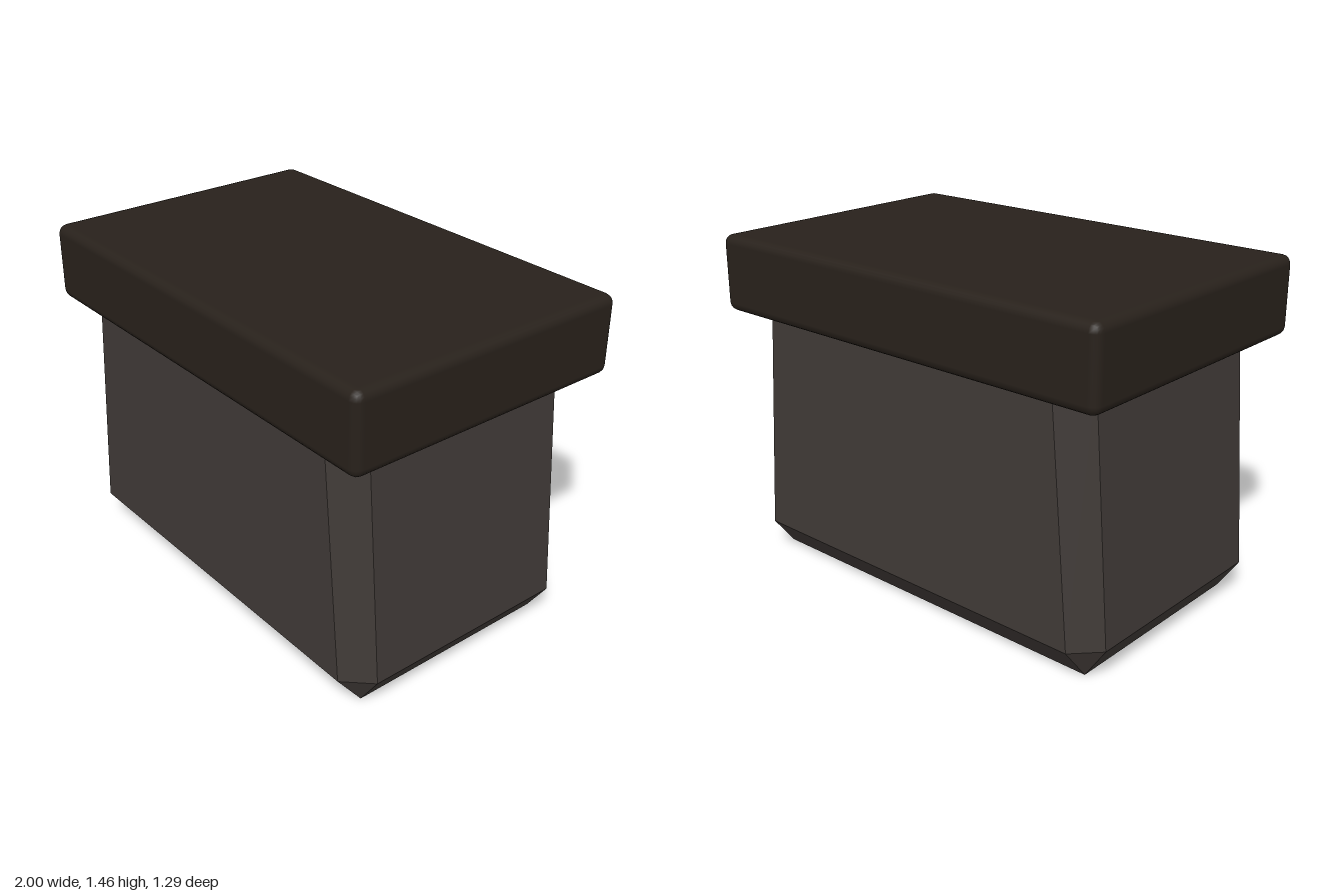
import * as THREE from 'three';
import { RoundedBoxGeometry } from 'three/addons/geometries/RoundedBoxGeometry.js';

// Rectangle with cut corners at height y, running from +x towards +z
function ring(y, hx, hz, cx, cz) {
  const a = hx - cx, b = hz - cz;
  return [[hx, b], [a, hz], [-a, hz], [-hx, b], [-hx, -b], [-a, -hz], [a, -hz], [hx, -b]]
    .map(([x, z]) => new THREE.Vector3(x, y, z));
}

// Join the rings with flat faces and close both ends
function loft(rings) {
  const pos = [];
  const tri = (a, b, c) => {
    if (new THREE.Triangle(a, b, c).getArea() < 1e-8) return;
    for (const p of [a, b, c]) pos.push(p.x, p.y, p.z);
  };
  for (let r = 0; r < rings.length - 1; r++) {
    const lo = rings[r], hi = rings[r + 1];
    for (let i = 0; i < 8; i++) {
      const j = (i + 1) % 8;
      tri(lo[i], hi[i], lo[j]);
      tri(hi[i], hi[j], lo[j]);
    }
  }
  const bottom = rings[0], top = rings[rings.length - 1];
  for (let i = 1; i < 7; i++) {
    tri(bottom[0], bottom[i], bottom[i + 1]);
    tri(top[0], top[i + 1], top[i]);
  }
  const geo = new THREE.BufferGeometry();
  geo.setAttribute('position', new THREE.Float32BufferAttribute(pos, 3));
  geo.computeVertexNormals();
  return geo;
}

export function createModel() {
  const group = new THREE.Group();

  // Tapered body with chamfered corners and foot
  const body = new THREE.Mesh(
    loft([
      ring(0, 0.86, 0.475, 0, 0),
      ring(0.14, 0.955, 0.585, 0.105, 0.11),
      ring(1.2, 0.875, 0.585, 0.115, 0.11),
    ]),
    new THREE.MeshStandardMaterial({ color: 0x403a37, flatShading: true })
  );
  body.name = 'body';

  // Overhanging lid with softened edges
  const lid = new THREE.Mesh(
    new RoundedBoxGeometry(2, 0.335, 1.29, 2, 0.04),
    new THREE.MeshStandardMaterial({ color: 0x28211b })
  );
  lid.name = 'lid';
  lid.position.y = 1.295;

  group.add(body, lid);
  return group;
}
